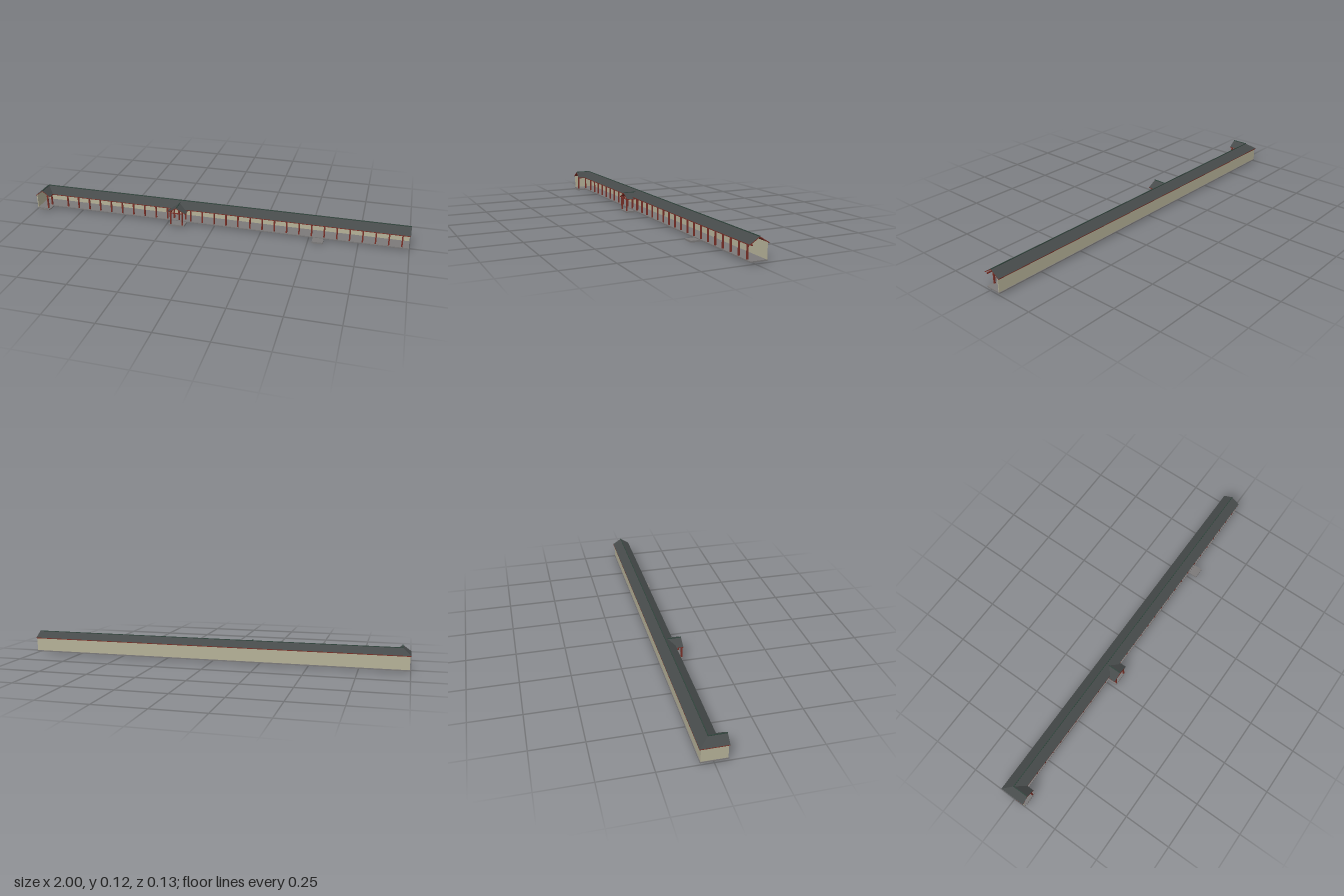
import * as THREE from 'three';

const mat = (name, color, side = THREE.FrontSide) => {
  const m = new THREE.MeshStandardMaterial({ color, side });
  m.name = name;
  return m;
};

export function createModel() {
  const wall = mat('plaster', 0xb5b198);
  const tile = mat('roofTile', 0x464a4a);
  const ridgeGreen = mat('ridgeGreen', 0x31453d);
  const wood = mat('redWood', 0x7a2f27);
  const stone = mat('stone', 0x7c7a7a);

  const root = new THREE.Group();
  root.name = 'coveredCorridor';

  // Box given by its minimum and maximum corners
  const box = (name, m, x0, x1, y0, y1, z0, z1) => {
    const mesh = new THREE.Mesh(new THREE.BoxGeometry(x1 - x0, y1 - y0, z1 - z0), m);
    mesh.position.set((x0 + x1) / 2, (y0 + y1) / 2, (z0 + z1) / 2);
    mesh.name = name;
    root.add(mesh);
  };

  // Sloping roof slab: four top corners, anticlockwise from above; tiled top, wooden sides and soffit
  const T = 0.004;
  const slope = (name, ...c) => {
    const p = c.map(v => new THREE.Vector3(...v));
    const q = p.map(v => v.clone().setY(v.y - T));
    const pos = [];
    const quad = (a, b, d, e) => [a, b, d, a, d, e].forEach(v => pos.push(v.x, v.y, v.z));
    quad(...p);
    quad(q[3], q[2], q[1], q[0]);
    for (let i = 0; i < 4; i++) {
      const j = (i + 1) % 4;
      quad(p[i], q[i], q[j], p[j]);
    }
    const g = new THREE.BufferGeometry();
    g.setAttribute('position', new THREE.Float32BufferAttribute(pos, 3));
    g.computeVertexNormals();
    g.addGroup(0, 6, 0);
    g.addGroup(6, 30, 1);
    const mesh = new THREE.Mesh(g, [tile, wood]);
    mesh.name = name;
    root.add(mesh);
  };

  const P = 0.0035; // half post width
  const post = (name, x, z, top) => box(name, wood, x - P, x + P, 0.008, top, z - P, z + P);

  // Key lines of the plan
  const eave = 0.084, ridge = 0.114, ridgeZ = -0.018, backZ = -0.066, frontZ = 0.029;
  const wingRidgeX = -0.958, wingInX = -0.916, wingZ = 0.066;
  const porchX = -0.193;

  // Floors and step pads
  box('corridorFloor', stone, -0.998, 0.998, 0.007, 0.013, -0.062, 0.022);
  box('wingFloor', stone, -0.998, -0.92, 0.007, 0.0128, 0.022, 0.065);
  box('wingStep', stone, -0.985, -0.93, 0, 0.007, -0.017, 0.067);
  box('porchStep', stone, porchX - 0.042, porchX + 0.042, 0, 0.0085, -0.017, 0.067);
  box('sideStep', stone, 0.522, 0.578, 0, 0.0085, -0.017, 0.067);

  // Walls along the back and the closed end
  box('backWall', wall, -0.996, 0.998, 0.013, 0.086, -0.059, -0.055);
  box('endWall', wall, -0.996, -0.992, 0.013, 0.084, -0.055, 0.062);

  // Corridor roof, hipped at the outer corner and valleyed at the inner one
  slope('backSlope', [1, eave, backZ], [-1, eave, backZ], [wingRidgeX, ridge, ridgeZ], [1, ridge, ridgeZ]);
  slope('frontSlope', [wingInX, eave, frontZ], [1, eave, frontZ], [1, ridge, ridgeZ], [wingRidgeX, ridge, ridgeZ]);
  slope('wingOuterSlope', [-1, eave, backZ], [-1, eave, wingZ], [wingRidgeX, ridge, wingZ], [wingRidgeX, ridge, ridgeZ]);
  slope('wingInnerSlope', [wingInX, eave, wingZ], [wingInX, eave, frontZ], [wingRidgeX, ridge, ridgeZ], [wingRidgeX, ridge, wingZ]);
  box('mainRidge', ridgeGreen, wingRidgeX, 1, 0.111, 0.116, ridgeZ - 0.002, ridgeZ + 0.002);
  box('wingRidge', ridgeGreen, wingRidgeX - 0.002, wingRidgeX + 0.002, 0.111, 0.116, ridgeZ - 0.002, wingZ);

  // Porch roof runs back beneath the corridor roof
  const pr = 0.104, pe = 0.077, pw = 0.05;
  slope('porchLeftSlope', [porchX + pw, pe, wingZ], [porchX + pw, pe, -0.017], [porchX, pr, -0.017], [porchX, pr, wingZ]);
  slope('porchRightSlope', [porchX - pw, pe, -0.017], [porchX - pw, pe, wingZ], [porchX, pr, wingZ], [porchX, pr, -0.017]);
  box('porchRidge', ridgeGreen, porchX - 0.002, porchX + 0.002, 0.101, 0.106, -0.005, wingZ);

  // Row of front posts carrying the eave beam
  for (let k = -10; k <= 18; k++) post('corridorPost', porchX + k * 0.0642, 0.015, 0.087);
  box('eaveBeam', wood, -0.93, 0.998, 0.077, 0.082, 0.0125, 0.0175);

  // Wing posts and beams
  post('wingPost', -0.932, 0.015, 0.088);
  post('wingPost', -0.932, 0.061, 0.088);
  box('wingBeam', wood, -0.934, -0.93, 0.077, 0.082, 0.015, 0.061);

  // Porch posts and beams
  for (const s of [-1, 1]) {
    const x = porchX + s * 0.032;
    post('porchPost', x, 0.062, 0.081);
    post('porchPost', x, -0.002, 0.081);
    box('porchBeam', wood, x - 0.002, x + 0.002, 0.07, 0.075, -0.002, 0.062);
  }
  box('porchTieBeam', wood, porchX - 0.032, porchX + 0.032, 0.07, 0.075, 0.06, 0.064);

  return root;
}
